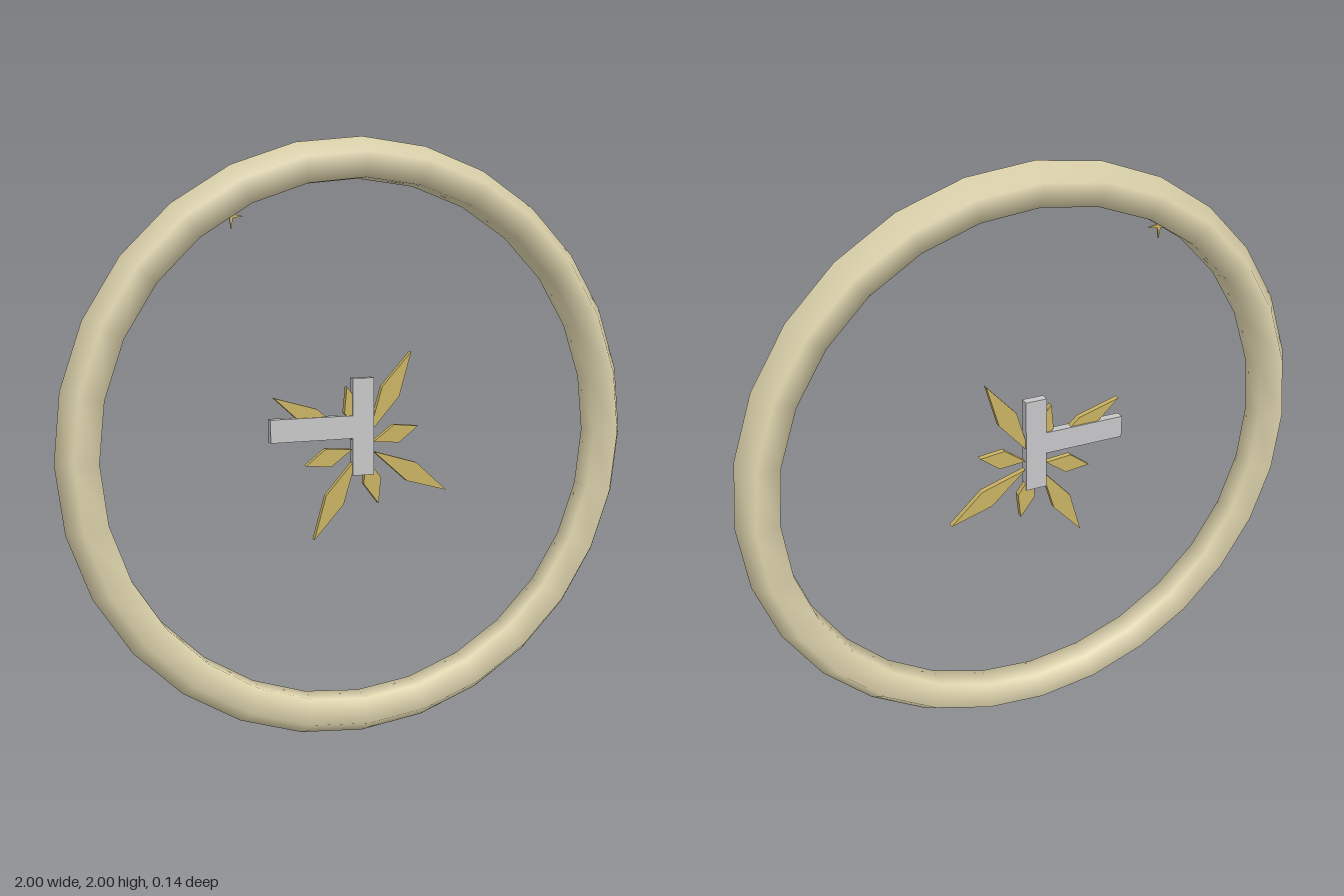
import * as THREE from 'three';

export function createModel() {
  const model = new THREE.Group();
  const material = (name, color) => {
    const m = new THREE.MeshStandardMaterial({ color });
    m.name = name;
    return m;
  };
  const cream = material('cream', 0xddd3ac);
  const gold = material('gold', 0xc9b263);
  const silver = material('silver', 0xc6c6c8);

  const add = (name, geometry, mat, x = 0, y = 1, z = 0, parent = model) => {
    const mesh = new THREE.Mesh(geometry, mat);
    mesh.name = name;
    mesh.position.set(x, y, z);
    parent.add(mesh);
    return mesh;
  };

  // Flat plate of a given outline, centred in depth
  const plate = (points, depth) =>
    new THREE.ExtrudeGeometry(
      new THREE.Shape(points.map(([x, y]) => new THREE.Vector2(x, y))),
      { depth, bevelEnabled: false }
    ).translate(0, 0, -depth / 2);

  // Outer ring with a five-sided section
  add('ring', new THREE.TorusGeometry(0.928, 0.072, 5, 28), cream);

  // Rosette of alternating long and short diamond petals
  const rosette = new THREE.Group();
  rosette.name = 'rosette';
  rosette.position.y = 1;
  model.add(rosette);
  const diamond = (base, mid, tip, half) =>
    plate([[base, 0], [mid, -half], [tip, 0], [mid, half]], 0.02);
  const longPetal = diamond(0.045, 0.203, 0.352, 0.035);
  const shortPetal = diamond(0.04, 0.126, 0.207, 0.032);
  for (let i = 0; i < 4; i++) {
    const turn = (i * Math.PI) / 2;
    add('longPetal', longPetal, gold, 0, 0, 0, rosette).rotation.z = turn - 0.512;
    add('shortPetal', shortPetal, gold, 0, 0, 0, rosette).rotation.z = turn + 0.275;
  }

  // Clock hands
  add('minuteHand', new THREE.BoxGeometry(0.074, 0.325, 0.03), silver, 0, 1.064);
  add('hourHand', new THREE.BoxGeometry(0.283, 0.076, 0.03), silver, -0.1785, 1.065);

  // Tiny four-pointed star against the inside of the ring
  const star = [];
  for (let i = 0; i < 8; i++) {
    const r = i % 2 ? 0.008 : 0.04;
    const a = (i * Math.PI) / 4;
    star.push([r * Math.cos(a), r * Math.sin(a)]);
  }
  add('star', plate(star, 0.006), gold, -0.435, 1.745, 0);

  return model;
}
